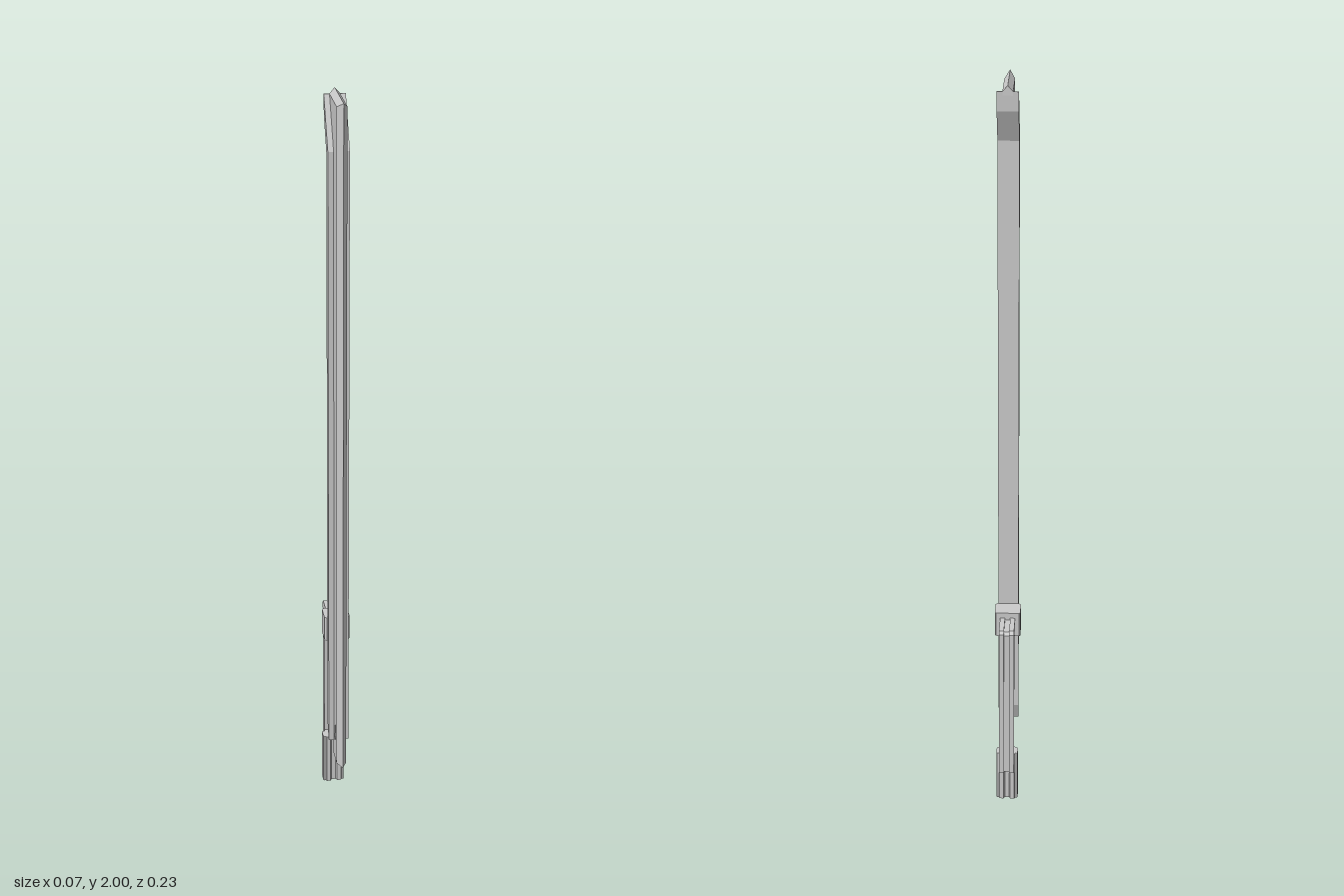
import * as THREE from 'three';

const material = new THREE.MeshStandardMaterial({ color: 0xcccccc, flatShading: true });

function shapeFrom(points) {
  return new THREE.Shape(points.map(([a, b]) => new THREE.Vector2(a, b)));
}

// Extrudes a side profile of [z, y] points across x, centred on x = 0
function sideProfile(points, width, hole) {
  const shape = shapeFrom(points);
  if (hole) shape.holes.push(shapeFrom(hole));
  return new THREE.ExtrudeGeometry(shape, { depth: width, bevelEnabled: false })
    .translate(0, 0, -width / 2).rotateY(-Math.PI / 2);
}

// Extrudes a plan section of [x, z] points from y0 to y1
function planSection(points, y0, y1) {
  return new THREE.ExtrudeGeometry(shapeFrom(points.map(([x, z]) => [x, -z])),
    { depth: y1 - y0, bevelEnabled: false }).rotateX(-Math.PI / 2).translate(0, y0, 0);
}

// Lifts the top of a geometry into a ridge along x = 0
function ridgeTop(geometry, top, half, rise) {
  const p = geometry.attributes.position;
  for (let i = 0; i < p.count; i++) {
    if (p.getY(i) > top - 1e-4) p.setY(i, top + rise * (1 - Math.abs(p.getX(i)) / half));
  }
  geometry.computeVertexNormals();
  return geometry;
}

export function createModel() {
  const model = new THREE.Group();
  const add = (name, geometry, parent = model) => {
    const mesh = new THREE.Mesh(geometry, material);
    mesh.name = name;
    parent.add(mesh);
    return mesh;
  };

  // Blade: flat body with a slanted slot, sharp front edge and ridged top
  const blade = new THREE.Group();
  blade.name = 'blade';
  model.add(blade);
  const half = 0.013, shoulder = 0.088, top = 1.985;
  add('bladeBody', sideProfile(
    [[shoulder, 0.145], [shoulder, top], [-0.025, top], [-0.025, 1.94], [0.018, 1.85], [0.018, 0.25], [0.032, 0.2], [0.032, 0.145]],
    half * 2,
    [[0.071, 0.215], [0.071, 0.25], [0.056, 0.253], [0.054, 0.207], [0.062, 0.203]]), blade);
  add('bladeEdge', ridgeTop(
    planSection([[-half, shoulder], [0, 0.114], [half, shoulder], [0, shoulder]], 0.145, top), top, half, 0.015), blade);
  const roof = new THREE.BoxGeometry(half * 2, 0.01, shoulder + 0.028, 2, 1, 1)
    .translate(0, top - 0.005, (shoulder - 0.028) / 2);
  add('bladeTop', ridgeTop(roof, top, half, 0.015), blade);

  // Wider spine that flares backwards at the top
  add('spine', sideProfile(
    [[0.04, 0.19], [0.04, 1.86], [-0.025, 1.985], [-0.028, 1.985], [-0.025, 1.935], [0.015, 1.85], [0.015, 0.24], [0.036, 0.19]],
    0.054));

  // Bracket joining spine and arm, with rounded side flanges
  add('bracket', planSection(
    [[-0.028, 0.016], [0.028, 0.016], [0.034, 0.011], [0.034, -0.034], [0.031, -0.038],
      [-0.031, -0.038], [-0.034, -0.034], [-0.034, 0.011]], 0.49, 0.56));

  // Bent arm: two outer rails and a thinner web between them
  const arm = new THREE.Group();
  arm.name = 'arm';
  model.add(arm);
  const armProfile = (inset) => {
    const d = inset;
    return [[-0.036, 0.545 - d], [-0.107 + d, 0.545 - d], [-0.115 + d, 0.537 - d], [-0.115 + d, 0.105],
      [-0.095, 0.105], [-0.088 - d, 0.112], [-0.088 - d, 0.505 + d], [-0.036, 0.505 + d]];
  };
  for (const side of [-1, 1]) {
    add(side > 0 ? 'leftRail' : 'rightRail', sideProfile(armProfile(0), 0.013).translate(side * 0.0135, 0, 0), arm);
  }
  add('web', sideProfile(armProfile(0.006), 0.016), arm);

  // Fluted end grip, extruded from half a section mirrored in x
  const halfSection = [[0.006, -0.077], [0.009, -0.084], [0.02, -0.084], [0.022, -0.079], [0.027, -0.079],
    [0.029, -0.075], [0.029, -0.055], [0.027, -0.05], [0.022, -0.05], [0.02, -0.046], [0.009, -0.046], [0.006, -0.053]];
  const mirrored = halfSection.map(([x, z]) => [-x, z]).reverse();
  add('grip', planSection([...halfSection, ...mirrored], 0, 0.145));

  return model;
}
